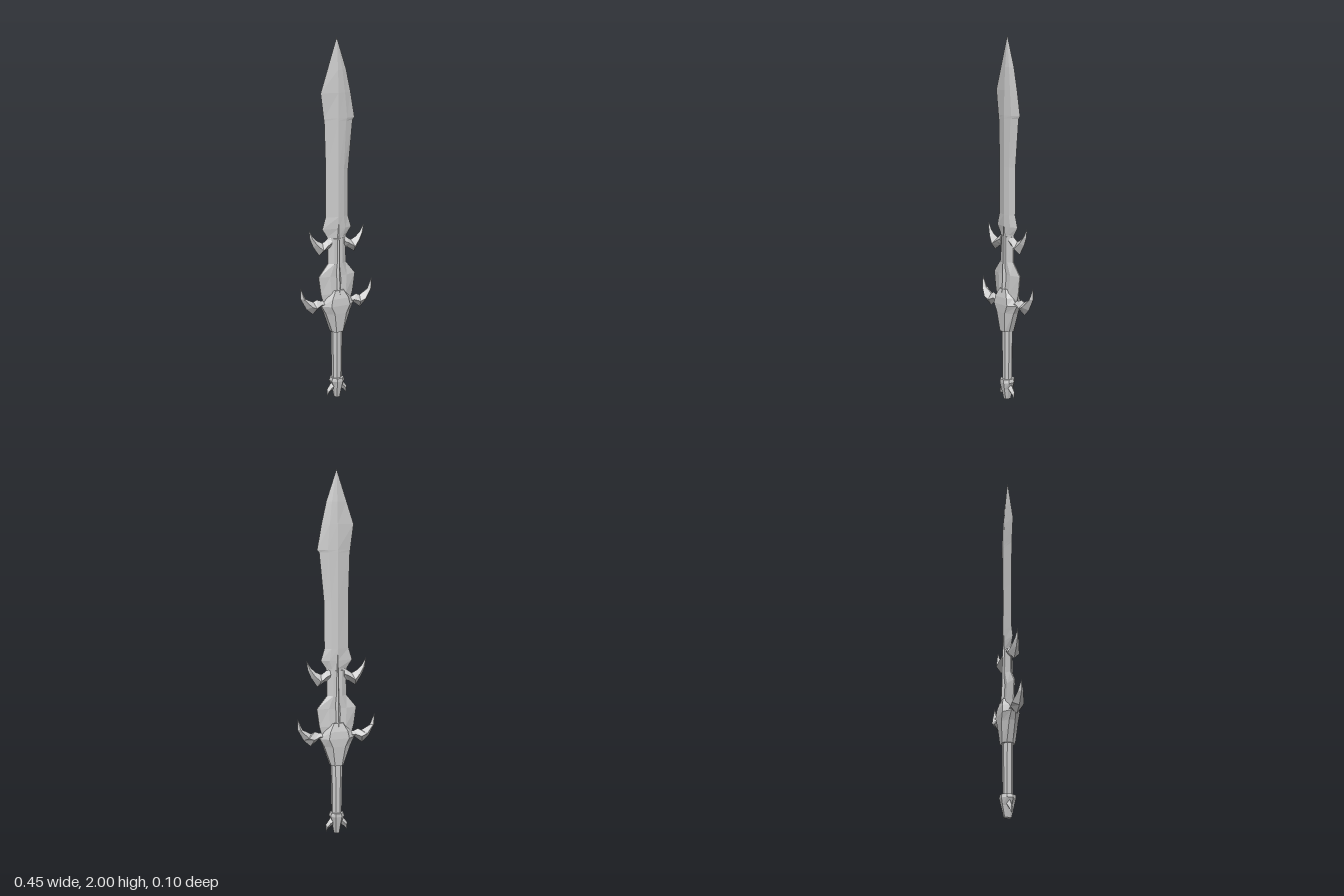
import * as THREE from 'three';

const metal = new THREE.MeshStandardMaterial({ color: 0xcccccc, flatShading: true });

// Skin a stack of equal-length rings of [x, y, z] points and cap both ends.
function loft(name, rings) {
  const n = rings[0].length;
  const tris = [];
  for (let i = 0; i < rings.length - 1; i++) {
    for (let j = 0; j < n; j++) {
      const k = (j + 1) % n;
      const a = rings[i][j], b = rings[i][k], c = rings[i + 1][k], d = rings[i + 1][j];
      tris.push([a, b, c], [a, c, d]);
    }
  }
  const last = rings[rings.length - 1];
  for (let j = 1; j < n - 1; j++) {
    tris.push([rings[0][0], rings[0][j + 1], rings[0][j]], [last[0], last[j], last[j + 1]]);
  }
  // Turn every face outward, whichever way the rings run
  const v = (p) => new THREE.Vector3(...p);
  const volume = tris.reduce((s, [a, b, c]) => s + v(a).dot(v(b).cross(v(c))), 0);
  if (volume < 0) tris.forEach((t) => t.reverse());
  const solid = tris.filter(([a, b, c]) => v(b).sub(v(a)).cross(v(c).sub(v(a))).length() > 1e-9);
  const geo = new THREE.BufferGeometry();
  geo.setAttribute('position', new THREE.Float32BufferAttribute(solid.flat(2), 3));
  geo.computeVertexNormals();
  const mesh = new THREE.Mesh(geo, metal);
  mesh.name = name;
  return mesh;
}

// Horizontal sections
const diamond = (y, w, d) => [[0, y, d], [w, y, 0], [0, y, -d], [-w, y, 0]];
const octagon = (y, w, d, fw, sd) => [
  [-fw, y, d], [fw, y, d], [w, y, sd], [w, y, -sd],
  [fw, y, -d], [-fw, y, -d], [-w, y, -sd], [-w, y, sd],
];

// Curved claw: rows of outer edge, inner edge and half thickness, on one side (s = 1 or -1)
function claw(name, rows, s) {
  return loft(name, rows.map(([ox, oy, ix, iy, t]) => {
    const mx = s * (ox + ix) / 2, my = (oy + iy) / 2;
    return [[s * ox, oy, 0], [mx, my, t], [s * ix, iy, 0], [mx, my, -t]];
  }));
}

export function createModel() {
  const sword = new THREE.Group();
  sword.name = 'sword';

  // Blade with a central ridge and a bevelled, hooked cutting edge: y, left x, right x, half depth
  const bladeRows = [
    [0.9, -0.055, 0.055, 0.02], [0.93, -0.06, 0.06, 0.02], [0.975, -0.09, 0.09, 0.021],
    [1.04, -0.07, 0.07, 0.022], [1.3, -0.068, 0.072, 0.022], [1.56, -0.076, 0.098, 0.022],
    [1.575, -0.079, 0.11, 0.022], [1.71, -0.097, 0.085, 0.02], [1.83, -0.057, 0.058, 0.015],
    [2, 0, 0, 0],
  ];
  sword.add(loft('blade', bladeRows.map(([y, l, r, d]) => [
    [0, y, d], [r * 0.5, y, d * 0.75], [r, y, 0],
    [r * 0.5, y, -d * 0.75], [0, y, -d], [l, y, 0],
  ])));

  // Narrow neck flaring into the lobes above the guard
  const neckRows = [
    [0.54, 0.08, 0.026], [0.61, 0.1, 0.024], [0.71, 0.114, 0.02],
    [0.78, 0.056, 0.022], [0.92, 0.055, 0.02],
  ];
  sword.add(loft('neck', neckRows.map(([y, w, d]) => octagon(y, w, d, w * 0.45, 0.003))));

  // Raised spike running up the middle of both faces
  const spikeRows = [
    [0.57, 0.035, 0.044], [0.64, 0.03, 0.036], [0.72, 0.036, 0.032],
    [0.79, 0.022, 0.031], [0.92, 0.016, 0.028], [1.07, 0, 0.018],
  ];
  sword.add(loft('centreSpike', spikeRows.map((r) => diamond(...r))));

  // Shield-shaped guard body: y, half width, half depth, front half width, side half depth
  const guardRows = [
    [0.39, 0.037, 0.036, 0.02, 0.016], [0.5, 0.076, 0.046, 0.036, 0.016],
    [0.545, 0.1, 0.048, 0.058, 0.012], [0.585, 0.072, 0.045, 0.05, 0.014],
    [0.63, 0.034, 0.034, 0.026, 0.015],
  ];
  sword.add(loft('guard', guardRows.map((r) => octagon(...r))));

  // Claws: outer x, outer y, inner x, inner y, half thickness
  const lowerClaw = [
    [0.06, 0.535, 0.06, 0.575, 0.022], [0.105, 0.54, 0.1, 0.575, 0.02],
    [0.15, 0.505, 0.125, 0.585, 0.03], [0.19, 0.54, 0.147, 0.575, 0.033],
    [0.226, 0.605, 0.195, 0.6, 0.016], [0.225, 0.667, 0.225, 0.667, 0],
  ];
  const upperClaw = [
    [0.04, 0.865, 0.04, 0.935, 0.022], [0.07, 0.858, 0.062, 0.918, 0.026],
    [0.11, 0.832, 0.088, 0.9, 0.033], [0.146, 0.885, 0.12, 0.915, 0.02],
    [0.166, 0.93, 0.145, 0.938, 0.01], [0.172, 0.982, 0.172, 0.982, 0],
  ];
  const pommelClaw = [
    [0.022, 0.098, 0.022, 0.045, 0.016], [0.042, 0.08, 0.034, 0.038, 0.016],
    [0.064, 0.05, 0.046, 0.03, 0.011], [0.061, 0.01, 0.061, 0.01, 0],
  ];
  for (const [side, s] of [['left', 1], ['right', -1]]) {
    sword.add(
      claw(side + 'LowerClaw', lowerClaw, s),
      claw(side + 'UpperClaw', upperClaw, s),
      claw(side + 'PommelClaw', pommelClaw, s),
    );
  }

  // Faceted grip
  sword.add(loft('grip', [
    octagon(0.09, 0.026, 0.024, 0.012, 0.011),
    octagon(0.41, 0.031, 0.026, 0.014, 0.012),
  ]));

  // Pommel with a flared collar, tapering to the base
  const pommelRows = [
    [0, 0.014, 0.018, 0.009, 0.009], [0.06, 0.025, 0.031, 0.014, 0.014],
    [0.098, 0.04, 0.039, 0.018, 0.017], [0.117, 0.034, 0.039, 0.016, 0.016],
  ];
  sword.add(loft('pommel', pommelRows.map((r) => octagon(...r))));

  return sword;
}
